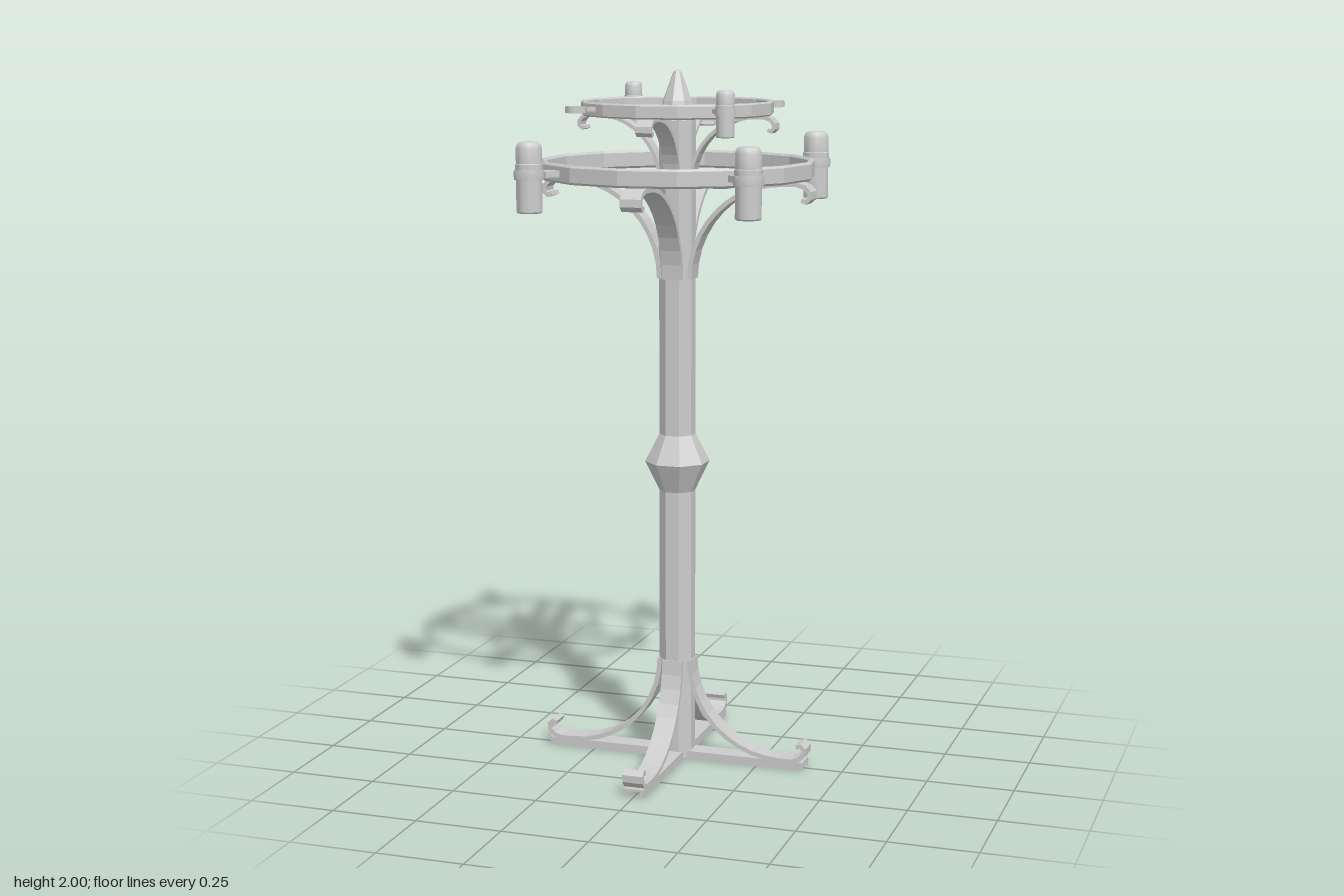
import * as THREE from 'three';
import { toCreasedNormals } from 'three/addons/utils/BufferGeometryUtils.js';

const flat = new THREE.MeshStandardMaterial({ color: 0xcccccc, flatShading: true });
const smooth = new THREE.MeshStandardMaterial({ color: 0xcccccc });

function add(parent, name, geometry, material = flat) {
  const mesh = new THREE.Mesh(geometry, material);
  mesh.name = name;
  parent.add(mesh);
  return mesh;
}

// Turned form from [radius, y] pairs running bottom to top on the outside
function lathe(points, sides, start = 0) {
  return new THREE.LatheGeometry(points.map(p => new THREE.Vector2(...p)), sides, start);
}

// Flat bar of the given width and thickness bent along a centre line in the xy plane
function bentStrip(line, thickness, width) {
  const left = [], right = [];
  line.forEach((p, i) => {
    const a = line[Math.max(i - 1, 0)], b = line[Math.min(i + 1, line.length - 1)];
    const d = b.clone().sub(a).normalize().multiplyScalar(thickness / 2);
    left.push(new THREE.Vector2(p.x - d.y, p.y + d.x));
    right.unshift(new THREE.Vector2(p.x + d.y, p.y - d.x));
  });
  const geometry = new THREE.ExtrudeGeometry(new THREE.Shape([...left, ...right]), { depth: width, bevelEnabled: false });
  return geometry.translate(0, 0, -width / 2);
}

// Quarter arc leaving the pole at y0, ending radius away, with a curled tip; dir is 1 up or -1 down
function braceLine(y0, radius, dir, tip) {
  const line = [];
  for (let i = 0; i <= 10; i++) {
    const a = (i / 10) * Math.PI / 2;
    line.push(new THREE.Vector2(0.045 + radius * (1 - Math.cos(a)), y0 + dir * radius * Math.sin(a)));
  }
  const end = line[10];
  tip.forEach(([x, y]) => line.push(new THREE.Vector2(end.x + x, end.y - dir * y)));
  return line;
}

// Four copies around the pole
function braces(parent, name, line, thickness, width) {
  const geometry = bentStrip(line, thickness, width);
  for (let i = 0; i < 4; i++) add(parent, name, geometry).rotation.y = i * Math.PI / 2;
}

// Fifteen-sided hoop with a bevelled section
function hoop(parent, name, r, y, height, depth) {
  const h = height / 2, b = depth / 3;
  add(parent, name, lathe([
    [r - depth + b, y - h], [r - b, y - h], [r, y - h + b], [r, y + h - b],
    [r - b, y + h], [r - depth + b, y + h], [r - depth, y + h - b], [r - depth, y - h + b], [r - depth + b, y - h],
  ], 15, Math.PI / 2));
}

// Lamp holder on a short bracket outside the hoop, with or without a lamp in it
function lampHolder(parent, x, z, y, r, hoopRadius, h, hasLamp) {
  const group = new THREE.Group();
  group.name = hasLamp ? 'lamp' : 'emptyLampHolder';
  const reach = Math.hypot(x, z);
  group.position.set(x, y, z);
  group.rotation.y = Math.atan2(-z, x);
  const length = reach - r - hoopRadius + 0.014;
  const bracket = add(group, 'bracket', new THREE.BoxGeometry(length, h * 0.09, r * 1.1));
  bracket.position.x = -r - length / 2 + 0.003;
  const c = h * 0.07, inner = r * 0.9;
  add(group, 'holderRing', toCreasedNormals(
    lathe([[inner, -c], [r, -c], [r * 1.03, 0], [r, c], [inner, c], [inner, -c]], 24), 0.6), smooth);
  if (hasLamp) {
    add(group, 'lampBody', toCreasedNormals(lathe([
      [0, -h * 0.54], [r * 0.8, -h * 0.54], [r * 0.87, -h * 0.52], [r * 0.87, -c], [r * 0.92, -c],
      [r * 0.92, h * 0.15], [r * 0.87, h * 0.16], [r * 0.87, h * 0.38], [r * 0.78, h * 0.43],
      [r * 0.62, h * 0.46], [0, h * 0.47],
    ], 24), 0.6), smooth);
  }
  parent.add(group);
}

export function createModel() {
  const model = new THREE.Group();
  model.name = 'lampPost';

  // Octagonal pole with a swelling halfway up
  const k = 1 / Math.cos(Math.PI / 8);
  add(model, 'pole', lathe([
    [0, 0.005], [0.048, 0.005], [0.048, 0.8], [0.086, 0.885], [0.048, 0.965], [0.048, 1.88], [0, 1.88],
  ].map(([r, y]) => [r * k, y]), 8, Math.PI / 8));

  // Pointed finial
  add(model, 'finial', lathe([[0, 1.86], [0.053, 1.86], [0.042, 1.915], [0.012, 1.995], [0, 2]], 8));

  // Crossed channel-section foot bars
  for (let i = 0; i < 2; i++) {
    const bar = new THREE.Group();
    bar.name = 'footBar';
    bar.rotation.y = i * Math.PI / 2;
    add(bar, 'footBarTop', new THREE.BoxGeometry(0.78, 0.008, 0.06)).position.y = 0.02;
    for (const s of [-1, 1])
      add(bar, 'footBarSide', new THREE.BoxGeometry(0.78, 0.024, 0.01)).position.set(0, 0.012, s * 0.025);
    model.add(bar);
  }

  // Curved legs and the two tiers of arms, all with curled tips
  const curl = [[0.035, 0], [0.058, 0.007], [0.072, 0.022], [0.073, 0.038], [0.062, 0.048], [0.05, 0.043]];
  const smallCurl = curl.map(([x, y]) => [x * 0.75, y * 0.8]);
  braces(model, 'leg', braceLine(0.3, 0.275, -1, curl), 0.013, 0.06);
  braces(model, 'lowerArm', braceLine(1.415, 0.275, 1, curl), 0.013, 0.06);
  braces(model, 'upperArm', braceLine(1.685, 0.187, 1, smallCurl), 0.01, 0.046);

  // Hoops resting on the arms
  hoop(model, 'lowerHoop', 0.39, 1.725, 0.052, 0.018);
  hoop(model, 'upperHoop', 0.273, 1.895, 0.04, 0.013);

  // Lamps: one lower holder and two upper holders stand empty
  for (const sx of [-1, 1]) for (const sz of [-1, 1]) {
    lampHolder(model, sx * 0.311, sz * 0.343, 1.725, 0.041, 0.39, 0.193, sx > 0 || sz > 0);
    lampHolder(model, sx * 0.214, sz * 0.238, 1.897, 0.029, 0.273, 0.126, sx === sz);
  }
  return model;
}
